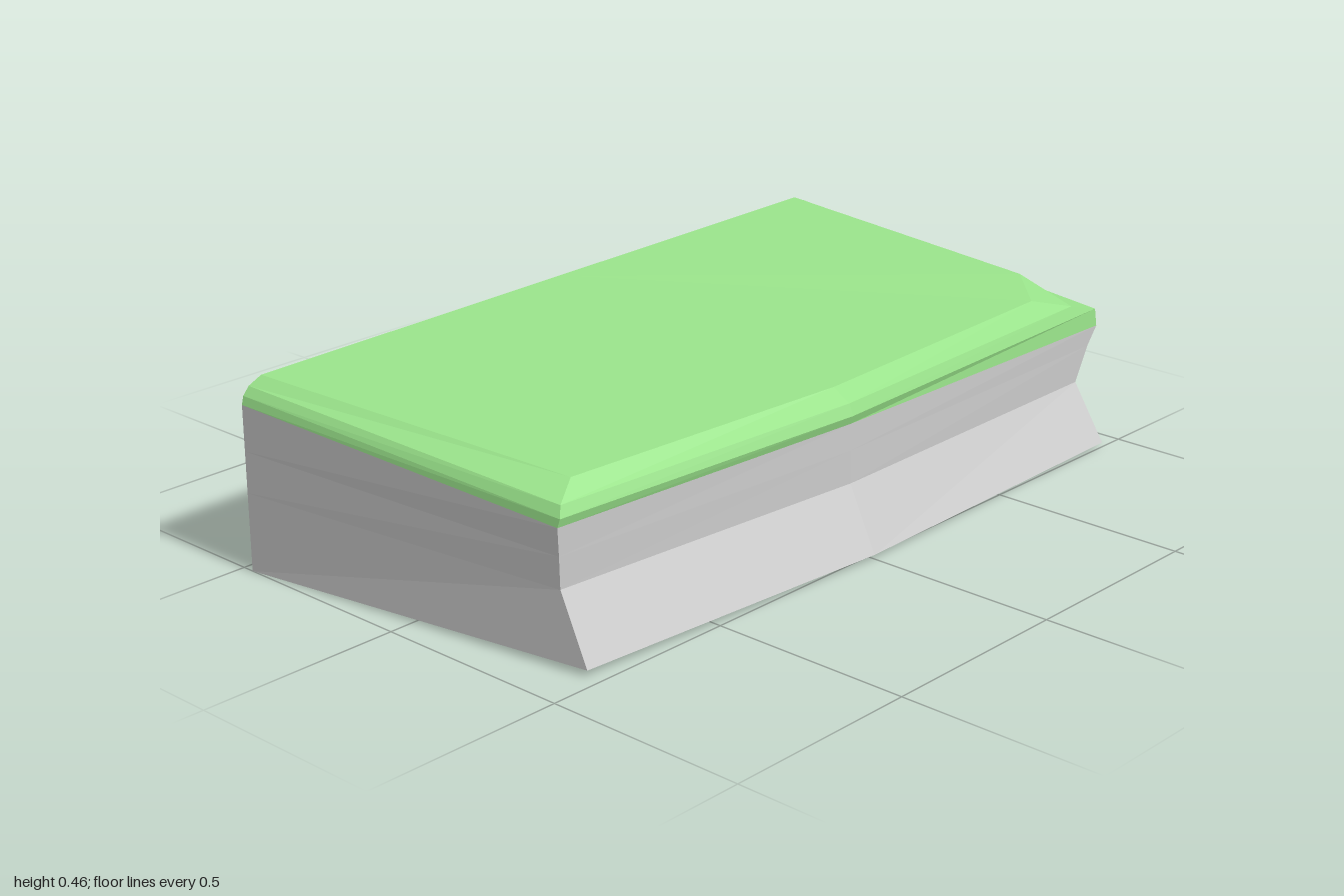
import * as THREE from 'three';

// Joins closed loops of [x, y, z] points, listed from low to high; caps are optional fans.
function loft(name, loops, color, capBottom, capTop) {
  const pos = [];
  const tri = (a, b, c) => pos.push(...a, ...b, ...c);
  const n = loops[0].length;
  for (let k = 0; k < loops.length - 1; k++) {
    const lo = loops[k], hi = loops[k + 1];
    for (let i = 0; i < n; i++) {
      const j = (i + 1) % n;
      tri(lo[i], lo[j], hi[j]);
      tri(lo[i], hi[j], hi[i]);
    }
  }
  // Fans start at the middle of the back edge, the last point of each loop
  const bottom = loops[0], top = loops[loops.length - 1];
  for (let i = 0; i < n - 2; i++) {
    if (capBottom) tri(bottom[n - 1], bottom[i + 1], bottom[i]);
    if (capTop) tri(top[n - 1], top[i], top[i + 1]);
  }
  const geo = new THREE.BufferGeometry();
  geo.setAttribute('position', new THREE.Float32BufferAttribute(pos, 3));
  geo.computeVertexNormals();
  const mesh = new THREE.Mesh(geo, new THREE.MeshStandardMaterial({ color, flatShading: true }));
  mesh.name = name;
  return mesh;
}

const mix = (a, b, t) => a.map((v, i) => v + (b[i] - v) * t);

// Corners: back -x, front -x, front middle, front +x, back +x.
// Adds a point on the +x side and one in the middle of the back.
function ring(bl, fl, fm, fr, br, side = mix(fr, br, 0.19)) {
  return [bl, fl, fm, fr, side, br, mix(bl, br, 0.51)];
}

export function createModel() {
  const group = new THREE.Group();
  group.name = 'rockLedge';

  // Stone: flared foot, narrow waist, overhanging upper face
  const foot = ring([-1, 0, -0.47], [-0.87, 0.015, 0.465], [0, 0.01, 0.52], [0.935, 0.008, 0.495], [0.935, 0, -0.52]);
  const waist = ring([-1, 0.19, -0.47], [-0.87, 0.175, 0.39], [0, 0.165, 0.445], [0.92, 0.155, 0.415], [0.92, 0.185, -0.52]);
  const belly = ring([-1, 0.29, -0.47], [-0.872, 0.25, 0.39], [0, 0.245, 0.444], [0.965, 0.24, 0.415], [0.945, 0.285, -0.52]);
  const lip = ring([-1, 0.4, -0.47], [-0.875, 0.315, 0.39], [0, 0.31, 0.443], [1, 0.285, 0.415], [0.98, 0.38, -0.52]);
  group.add(loft('stoneBase', [foot, waist, belly, lip], 0xcccccc, true, false));

  // Grass: thin rim, bevelled shoulder, sloping top
  const rim = ring([-0.995, 0.42, -0.47], [-0.872, 0.335, 0.395], [0, 0.33, 0.449], [0.995, 0.33, 0.412], [0.97, 0.425, -0.52]);
  const shoulder = ring([-0.98, 0.44, -0.468], [-0.86, 0.36, 0.385], [0, 0.358, 0.438], [0.9, 0.358, 0.405],
    [0.955, 0.437, -0.515], [0.975, 0.355, 0.25]);
  const crown = ring([-0.95, 0.46, -0.46], [-0.79, 0.39, 0.345], [0, 0.385, 0.39], [0.8, 0.385, 0.355],
    [0.9, 0.46, -0.505], [0.92, 0.4, 0.23]);
  group.add(loft('grassTop', [lip, rim, shoulder, crown], 0x99e28a, false, true));

  return group;
}
